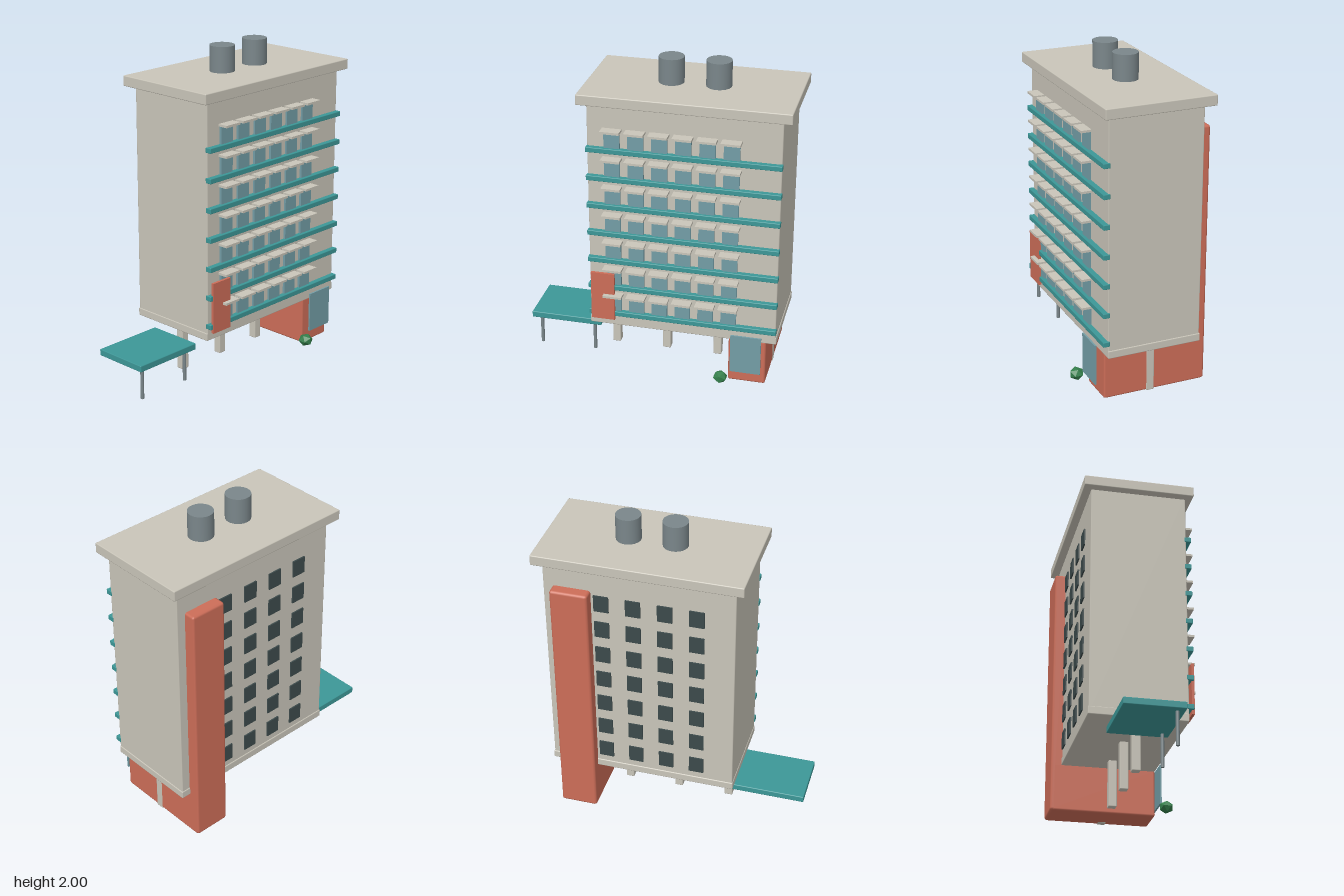
import * as THREE from 'three';
import { RoundedBoxGeometry } from 'three/addons/geometries/RoundedBoxGeometry.js';

const paint = (name, color, extra = {}) => {
  const m = new THREE.MeshStandardMaterial({ color, ...extra });
  m.name = name;
  return m;
};

export function createModel() {
  const concrete = paint('concrete', 0xc9c5b9);
  const teal = paint('teal', 0x3c9797);
  const brick = paint('terracotta', 0xcc6d58);
  const glass = paint('glass', 0x739da6);
  const darkGlass = paint('darkGlass', 0x3c4a4b);
  const steel = paint('steel', 0x7a868a);
  const leaf = paint('leaf', 0x347f4b, { flatShading: true });

  const model = new THREE.Group();
  model.name = 'apartmentBlock';

  const add = (name, geometry, material, x, y, z) => {
    const mesh = new THREE.Mesh(geometry, material);
    mesh.name = name;
    mesh.position.set(x, y, z);
    model.add(mesh);
    return mesh;
  };
  // Box given by its limits on each axis, with an optional edge bevel
  const block = (name, material, [x0, x1], [y0, y1], [z0, z1], bevel = 0) => {
    const size = [x1 - x0, y1 - y0, z1 - z0];
    const geometry = bevel ? new RoundedBoxGeometry(...size, 1, bevel) : new THREE.BoxGeometry(...size);
    return add(name, geometry, material, (x0 + x1) / 2, (y0 + y1) / 2, (z0 + z1) / 2);
  };

  // Main volume, floor slab and overhanging roof
  block('body', concrete, [-0.396, 0.771], [0.31, 1.79], [-0.312, 0.28], 0.006);
  block('floorSlab', concrete, [-0.4, 0.776], [0.3, 0.35], [-0.317, 0.28], 0.006);
  block('roof', concrete, [-0.45, 0.826], [1.775, 1.84], [-0.362, 0.322], 0.006);

  // Rooftop tanks
  for (const x of [0.045, 0.332]) {
    add('rooftopTank', new THREE.CylinderGeometry(0.077, 0.077, 0.18, 24), steel, x, 1.91, -0.02);
  }

  // Ground-floor lobby and rear stair tower
  block('lobby', brick, [0.48, 0.714], [0.008, 0.31], [-0.37, 0.28], 0.012);
  block('stairTower', brick, [0.48, 0.714], [0.008, 1.626], [-0.382, -0.29], 0.015);

  // Row of columns under the building
  for (let i = 0; i < 4; i++) {
    const x = -0.31 + i * 0.3335;
    block('column', concrete, [x - 0.026, x + 0.026], [0.004, 0.32], [-0.046, 0.006], 0.006);
  }

  // Storeys: balcony band, front windows with hoods, rear windows
  for (let floor = 0; floor < 7; floor++) {
    const y = floor * 0.183;
    block('balconyBand', teal, [-0.4, 0.776], [y + 0.38, y + 0.412], [0.27, 0.312], 0.004);
    for (let i = 0; i < 6; i++) {
      const x = -0.243 + i * 0.144;
      block('frontWindow', glass, [x - 0.048, x + 0.048], [y + 0.4, y + 0.522], [0.275, 0.294]);
      block('windowHood', concrete, [x - 0.059, x + 0.059], [y + 0.52, y + 0.534], [0.275, 0.345]);
    }
    for (let i = 0; i < 4; i++) {
      const x = -0.165 + i * 0.194;
      block('rearWindow', darkGlass, [x - 0.046, x + 0.046], [y + 0.395, y + 0.503], [-0.321, -0.305]);
    }
  }

  // Front wall panel and glazed entrance
  block('wallPanel', brick, [-0.382, -0.234], [0.355, 0.675], [0.3, 0.317]);
  block('entranceGlass', glass, [0.5, 0.69], [0.1, 0.355], [0.317, 0.328]);

  // Side canopy on two posts
  block('canopy', teal, [-0.831, -0.37], [0.2, 0.241], [-0.204, 0.156], 0.005);
  for (const x of [-0.78, -0.425]) {
    add('canopyPost', new THREE.CylinderGeometry(0.011, 0.011, 0.21, 10), steel, x, 0.105, 0.11);
  }

  // Shrub beside the entrance
  const shrub = add('shrub', new THREE.IcosahedronGeometry(0.047, 0), leaf, 0.445, 0.06, 0.343);
  shrub.scale.y = 0.85;

  return model;
}
